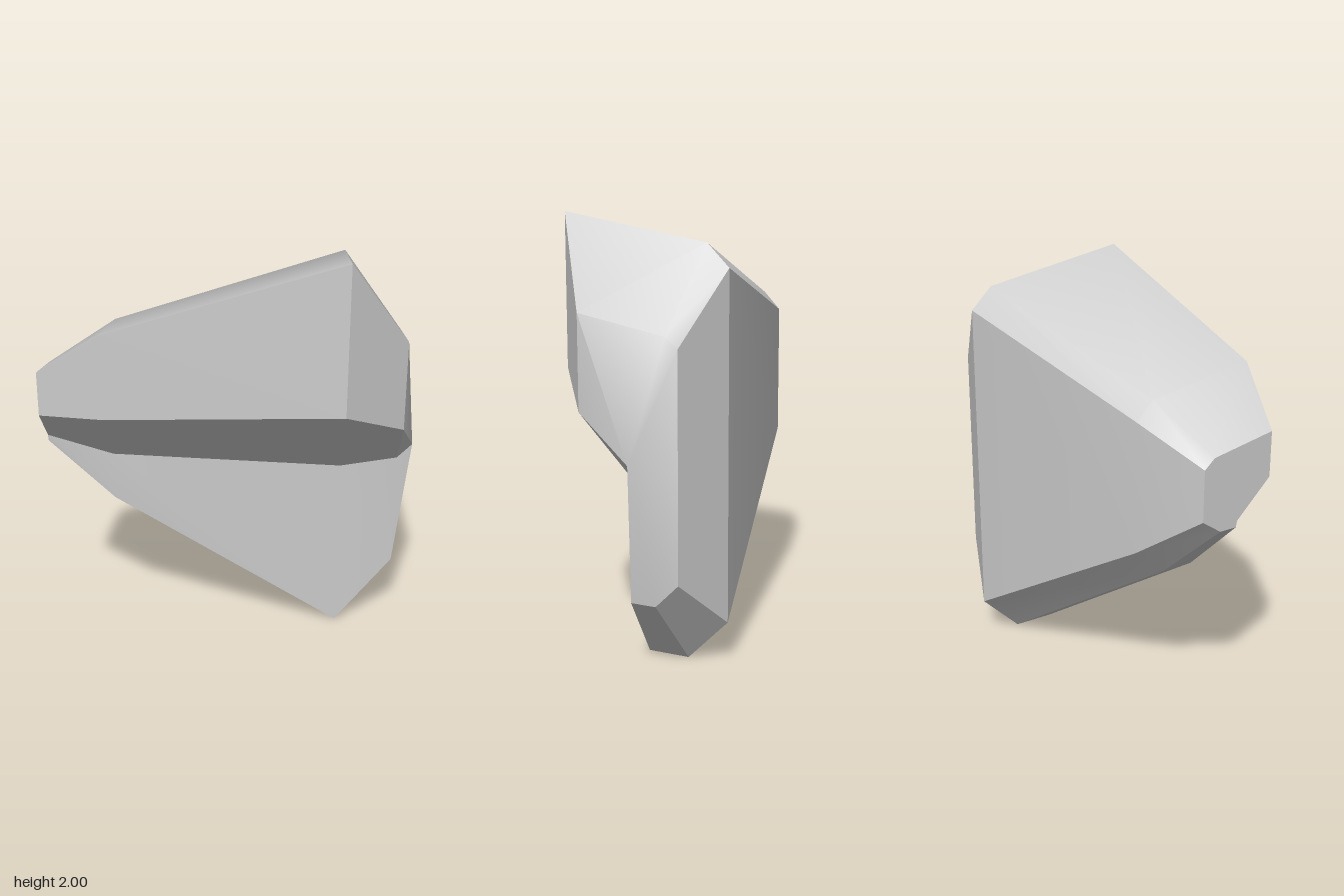
import * as THREE from 'three';
import { toCreasedNormals } from 'three/addons/utils/BufferGeometryUtils.js';

// Cross-sections along x. Corners [z, y] run from the top front edge down the
// front, under the overhang, along the bottom and up the back.
const SECTIONS = [
  { x: -0.88, p: [[0.30, 1.45], [0.30, 1.24], [0.13, 1.07], [0.125, 1.04], [0.04, 1.04], [-0.055, 1.105], [-0.055, 1.345], [-0.005, 1.39]] },
  { x: -0.57, p: [[0.40, 1.665], [0.40, 1.265], [0.125, 0.975], [0.12, 0.74], [-0.03, 0.74], [-0.19, 0.87], [-0.19, 1.49], [-0.11, 1.575]] },
  { x: 0.52, p: [[0.405, 2.0], [0.405, 1.295], [-0.01, 0.873], [-0.01, 0], [-0.21, 0], [-0.405, 0.197], [-0.405, 1.77], [-0.30, 1.875]] },
  { x: 0.80, p: [[0.18, 1.58], [0.18, 1.15], [-0.07, 0.895], [-0.07, 0.325], [-0.19, 0.325], [-0.30, 0.435], [-0.30, 1.45], [-0.24, 1.50]] },
];
const TIP = [0.875, 0.955, -0.10];
const N = 8;

const corner = (i, j) => {
  const s = SECTIONS[i], [z, y] = s.p[j % N];
  return [s.x, y, z];
};

// Long strip of faces between corner lines j and j + 1
function strip(j) {
  const out = [];
  for (let i = 0; i < SECTIONS.length - 1; i++) {
    const a = corner(i, j), b = corner(i, j + 1), c = corner(i + 1, j + 1), d = corner(i + 1, j);
    out.push(a, b, c, a, c, d);
  }
  return out;
}

// Triangle closing strip j at the pointed end
const tipFace = (j) => [corner(3, j), corner(3, j + 1), TIP];

// Flat cap at the narrow end, fanned from the inner corner of the overhang
function endCap() {
  const out = [];
  for (let k = 1; k < N - 1; k++) out.push(corner(0, 2), corner(0, 2 + k + 1), corner(0, 2 + k));
  return out;
}

export function createModel() {
  const stone = new THREE.MeshStandardMaterial({ color: 0xcccccc });
  stone.name = 'pale grey stone';
  const group = new THREE.Group();
  group.name = 'rock';

  const add = (name, points, crease) => {
    const geo = new THREE.BufferGeometry();
    geo.setAttribute('position', new THREE.Float32BufferAttribute(points.flat(), 3));
    const mesh = new THREE.Mesh(toCreasedNormals(geo, crease), stone);
    mesh.name = name;
    group.add(mesh);
  };

  // Sides with firm edges
  add('upperFront', strip(0), 0.3);
  add('overhang', [...strip(1), ...tipFace(1)], 0.3);
  add('lowerFront', [...strip(2), ...tipFace(2)], 0.3);
  add('bottom', strip(3), 0.3);
  add('bottomBevel', strip(4), 0.3);
  add('back', strip(5), 0.3);
  add('endCap', endCap(), 0.3);

  // Top, its rear bevel and the blunt tip share softened edges
  const crown = [...strip(6), ...strip(7)];
  for (const j of [0, 3, 4, 5, 6, 7]) crown.push(...tipFace(j));
  add('crown', crown, 0.65);

  return group;
}
